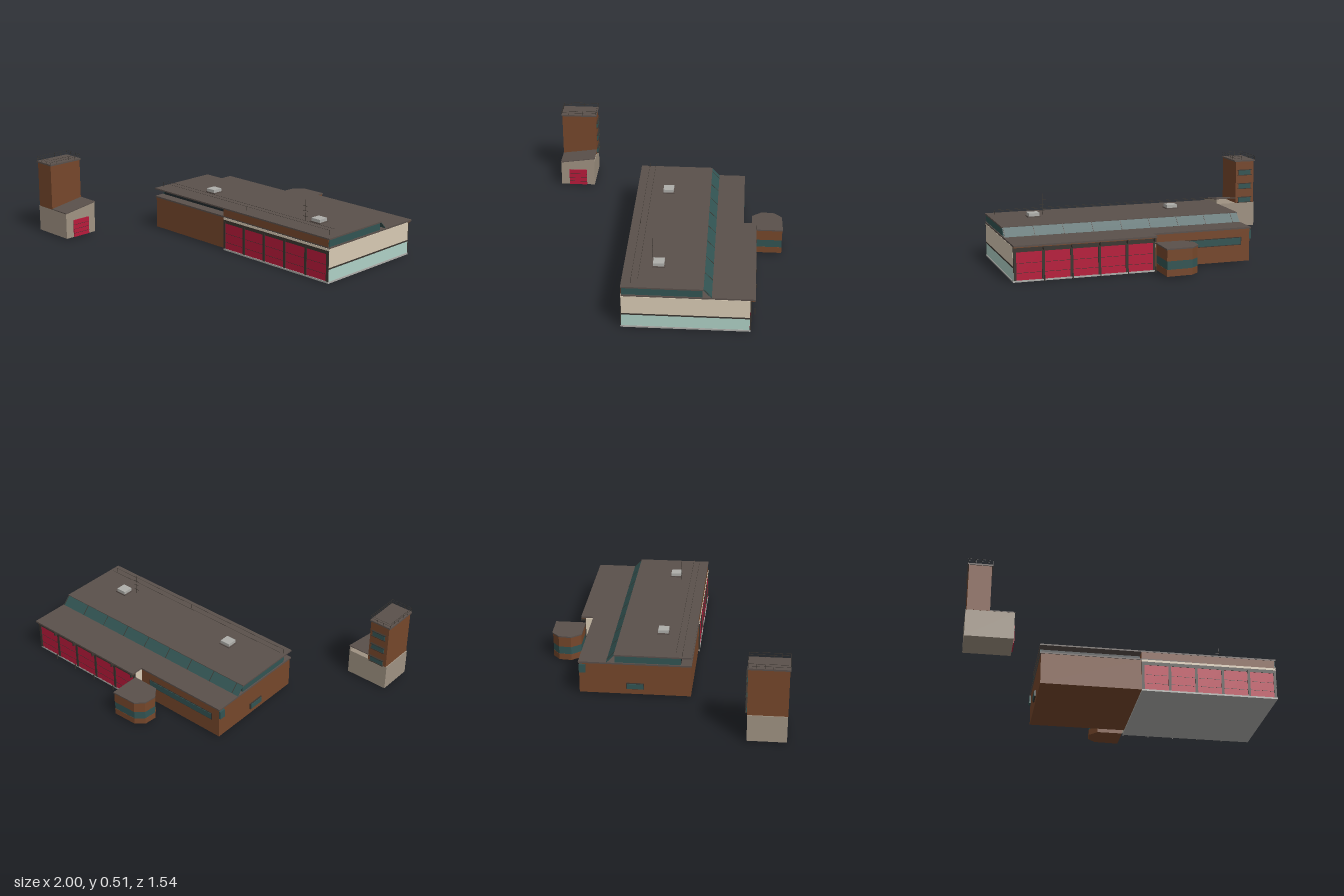
import * as THREE from 'three';

const mat = (name, color) => {
  const m = new THREE.MeshStandardMaterial({ color, side: THREE.DoubleSide });
  m.name = name;
  return m;
};

export function createModel() {
  const M = {
    brick: mat('brown brick', 0x76472b), roof: mat('roof grey', 0x5a504b),
    red: mat('door red', 0xb81a3b), beige: mat('beige panel', 0xd8cab4),
    stone: mat('taupe stone', 0x9f9282), pale: mat('pale green panel', 0xafd1c6),
    glass: mat('teal glass', 0x325453), dark: mat('dark trim', 0x3a352f),
    metal: mat('light grey', 0xaeaeaa), shade: mat('dark glass', 0x20292b),
  };
  const model = new THREE.Group();
  let target = model;
  const group = (name) => {
    target = new THREE.Group();
    target.name = name;
    model.add(target);
  };
  const add = (name, geo, m) => {
    const mesh = new THREE.Mesh(geo, m);
    mesh.name = name;
    target.add(mesh);
    return mesh;
  };
  // box given by its limits on each axis
  const box = (name, m, x0, x1, y0, y1, z0, z1) => {
    const b = add(name, new THREE.BoxGeometry(x1 - x0, y1 - y0, z1 - z0), m);
    b.position.set((x0 + x1) / 2, (y0 + y1) / 2, (z0 + z1) / 2);
    return b;
  };
  // upright prism over a plan outline of [x, z] points
  const prism = (name, m, pts, y0, y1) => {
    const s = new THREE.Shape(pts.map(([x, z]) => new THREE.Vector2(x, -z)));
    const g = new THREE.ExtrudeGeometry(s, { depth: y1 - y0, bevelEnabled: false });
    add(name, g.rotateX(-Math.PI / 2).translate(0, y0, 0), m);
  };
  // prism along x over a side outline of [z, y] points
  const sidePrism = (name, m, pts, x0, x1) => {
    const s = new THREE.Shape(pts.map(([z, y]) => new THREE.Vector2(-z, y)));
    const g = new THREE.ExtrudeGeometry(s, { depth: x1 - x0, bevelEnabled: false });
    add(name, g.rotateY(Math.PI / 2).translate(x0, 0, 0), m);
  };

  // Office wing with low brick walls and strip windows
  group('officeWing');
  box('officeWalls', M.brick, -0.505, 0.13, 0.012, 0.214, -0.515, 0.172);
  box('backWindowFrame', M.dark, -0.45, 0.06, 0.115, 0.165, -0.518, -0.514);
  box('backWindow', M.glass, -0.445, 0.055, 0.12, 0.16, -0.521, -0.516);
  box('endWindowFrame', M.dark, -0.513, -0.504, 0.048, 0.088, -0.225, -0.115);
  box('endWindow', M.glass, -0.517, -0.508, 0.052, 0.084, -0.22, -0.12);
  box('cornerWindow', M.glass, -0.516, -0.504, 0.15, 0.205, -0.515, -0.475);

  // Vehicle hall with panelled end wall
  group('vehicleHall');
  box('hallFloor', M.metal, 0.13, 1, 0.002, 0.013, -0.575, 0.18);
  box('hallWalls', M.brick, 0.132, 0.994, 0.013, 0.214, -0.57, 0.172);
  box('endLowerPanel', M.pale, 0.99, 0.998, 0.013, 0.088, -0.57, 0.175);
  box('endPanelStrip', M.dark, 0.99, 1, 0.088, 0.097, -0.572, 0.177);
  box('endUpperPanel', M.beige, 0.99, 0.998, 0.097, 0.211, -0.57, 0.175);
  box('returnPanel', M.beige, 0.127, 0.133, 0.013, 0.211, -0.57, -0.516);
  box('frontFascia', M.beige, 0.13, 0.998, 0.202, 0.216, 0.17, 0.179);
  box('frontLintel', M.dark, 0.13, 0.998, 0.18, 0.202, 0.17, 0.178);
  box('backLintel', M.dark, 0.13, 0.998, 0.18, 0.214, -0.578, -0.569);

  // Five doors on each long side, with posts between them
  group('hallDoors');
  const pitch = 0.17, first = 0.135;
  for (const side of [1, -1]) {
    const z = side > 0 ? 0.173 : -0.571;
    const plate = (name, m, x0, x1, y0, y1, out) =>
      box(name, m, x0, x1, y0, y1, Math.min(z, z + side * out), Math.max(z, z + side * out));
    for (let i = 0; i < 5; i++) {
      const x = first + i * pitch;
      plate('hallDoor', M.red, x + 0.01, x + pitch, 0.013, 0.18, 0.003);
      for (const y of [0.055, 0.113]) plate('doorSeam', M.dark, x + 0.01, x + pitch, y, y + 0.002, 0.004);
    }
    for (let i = 0; i < 6; i++) {
      const x = first + i * pitch;
      plate('doorPost', M.dark, x - 0.005, x + 0.012, 0.013, 0.19, 0.007);
      if (side < 0 && i < 5) {
        plate('doorLampBracket', M.dark, x, x + 0.008, 0.19, 0.212, 0.034);
        box('doorBollard', M.dark, x, x + 0.006, 0.004, 0.04, -0.603, -0.597);
      }
    }
  }

  // Low roof, raised roof and clerestory
  group('roofs');
  prism('lowRoof', M.roof, [[-0.512, 0.176], [1, 0.176], [1, -0.6], [0.126, -0.6], [0.126, -0.52], [-0.512, -0.52]], 0.214, 0.224);
  box('eaveEdge', M.brick, 0.128, 0.998, 0.209, 0.214, -0.596, -0.57);
  box('clerestoryCore', M.shade, -0.5, 0.13, 0.224, 0.27, -0.29, 0.11);
  box('raisedHallWall', M.brick, 0.13, 0.99, 0.216, 0.27, -0.29, 0.176);
  box('hallEndGlass', M.glass, 0.988, 0.995, 0.22, 0.27, -0.295, 0.172);
  box('officeEndGlass', M.glass, -0.505, -0.498, 0.224, 0.27, -0.295, 0.11);
  box('raisedRoof', M.roof, -0.512, 1, 0.269, 0.278, -0.3, 0.178);
  const lean = Math.atan2(0.052, 0.05);
  const slopeBox = (name, m, x, w, t) => {
    const b = add(name, new THREE.BoxGeometry(w, t, 0.072), m);
    b.position.set(x, 0.249, -0.322);
    b.rotation.x = -lean;
  };
  slopeBox('slopingGlass', M.glass, 0.244, 1.508, 0.003);
  for (let i = 0; i <= 8; i++) slopeBox('glassBar', M.dark, -0.464 + i * 0.182, 0.004, 0.006);

  // Roof vents, safety wires and aerial
  group('roofFittings');
  for (const x of [-0.165, 0.742]) {
    box('ventBase', M.roof, x - 0.04, x + 0.04, 0.278, 0.285, -0.066, 0.01);
    box('ventCap', M.metal, x - 0.034, x + 0.034, 0.285, 0.304, -0.06, 0.006);
  }
  for (const z of [0.08, 0.12]) box('wire', M.dark, -0.495, 0.955, 0.305, 0.306, z - 0.0007, z + 0.0007);
  for (const x of [-0.495, 0.27, 0.953]) box('wirePost', M.dark, x - 0.001, x + 0.001, 0.278, 0.306, 0.119, 0.121);
  box('aerialMast', M.dark, 0.667, 0.669, 0.278, 0.41, 0.014, 0.016);
  for (const y of [0.305, 0.34, 0.37]) box('aerialArm', M.dark, 0.648, 0.688, y, y + 0.002, 0.014, 0.016);

  // Faceted bay behind the building, in stacked bands
  group('bay');
  const bay = (g) => [[0.125 + g, -0.575 + g], [0.125 + g, -0.765 - g], [-0.035 - g, -0.76 - g],
    [-0.085 - g, -0.715], [-0.092 - g, -0.635], [-0.04 - g, -0.575 + g]];
  prism('bayLowerWall', M.brick, bay(0), 0.012, 0.053);
  prism('bayWindowBand', M.glass, bay(-0.001), 0.053, 0.104);
  prism('bayUpperWall', M.brick, bay(0), 0.104, 0.172);
  prism('bayRoof', M.roof, bay(0.004), 0.172, 0.18);

  // Drill tower on a stone base, with a sloping annex roof open at the back
  group('tower');
  box('towerBase', M.stone, -0.998, -0.715, 0.012, 0.178, 0.53, 0.762);
  sidePrism('annexGable', M.stone, [[0.762, 0.178], [0.53, 0.178], [0.53, 0.212]], -0.72, -0.715);
  sidePrism('annexRoof', M.roof, [[0.764, 0.178], [0.526, 0.212], [0.526, 0.217], [0.764, 0.183]], -0.858, -0.712);
  box('towerShaft', M.brick, -0.992, -0.858, 0.178, 0.47, 0.528, 0.763);
  box('towerRoof', M.roof, -1, -0.85, 0.47, 0.48, 0.524, 0.768);
  box('annexDoor', M.red, -0.716, -0.709, 0.013, 0.126, 0.584, 0.706);
  for (const y of [0.037, 0.065, 0.094]) box('annexDoorSeam', M.dark, -0.712, -0.708, y, y + 0.002, 0.584, 0.706);
  for (const y of [0.18, 0.277, 0.373]) {
    box('towerWindow', M.glass, -0.968, -0.878, y + 0.004, y + 0.036, 0.521, 0.53);
    for (const e of [y, y + 0.036]) box('windowSill', M.dark, -0.975, -0.871, e, e + 0.004, 0.517, 0.53);
  }

  // Railing round the tower roof
  group('towerRailing');
  const r = 0.0007;
  for (const y of [0.495, 0.509]) {
    for (const x of [-0.997, -0.853]) box('rail', M.dark, x - r, x + r, y - r, y + r, 0.527, 0.765);
    for (const z of [0.527, 0.765]) box('rail', M.dark, -0.997, -0.853, y - r / 2, y + r / 2, z - r, z + r);
  }
  for (let i = 0; i <= 5; i++) {
    const z = 0.527 + i * 0.0476;
    for (const x of [-0.997, -0.853]) box('railPost', M.dark, x - r, x + r, 0.48, 0.51, z - r, z + r);
  }
  for (const x of [-0.949, -0.901]) {
    for (const z of [0.527, 0.765]) box('railPost', M.dark, x - r, x + r, 0.48, 0.51, z - r, z + r);
  }
  return model;
}
